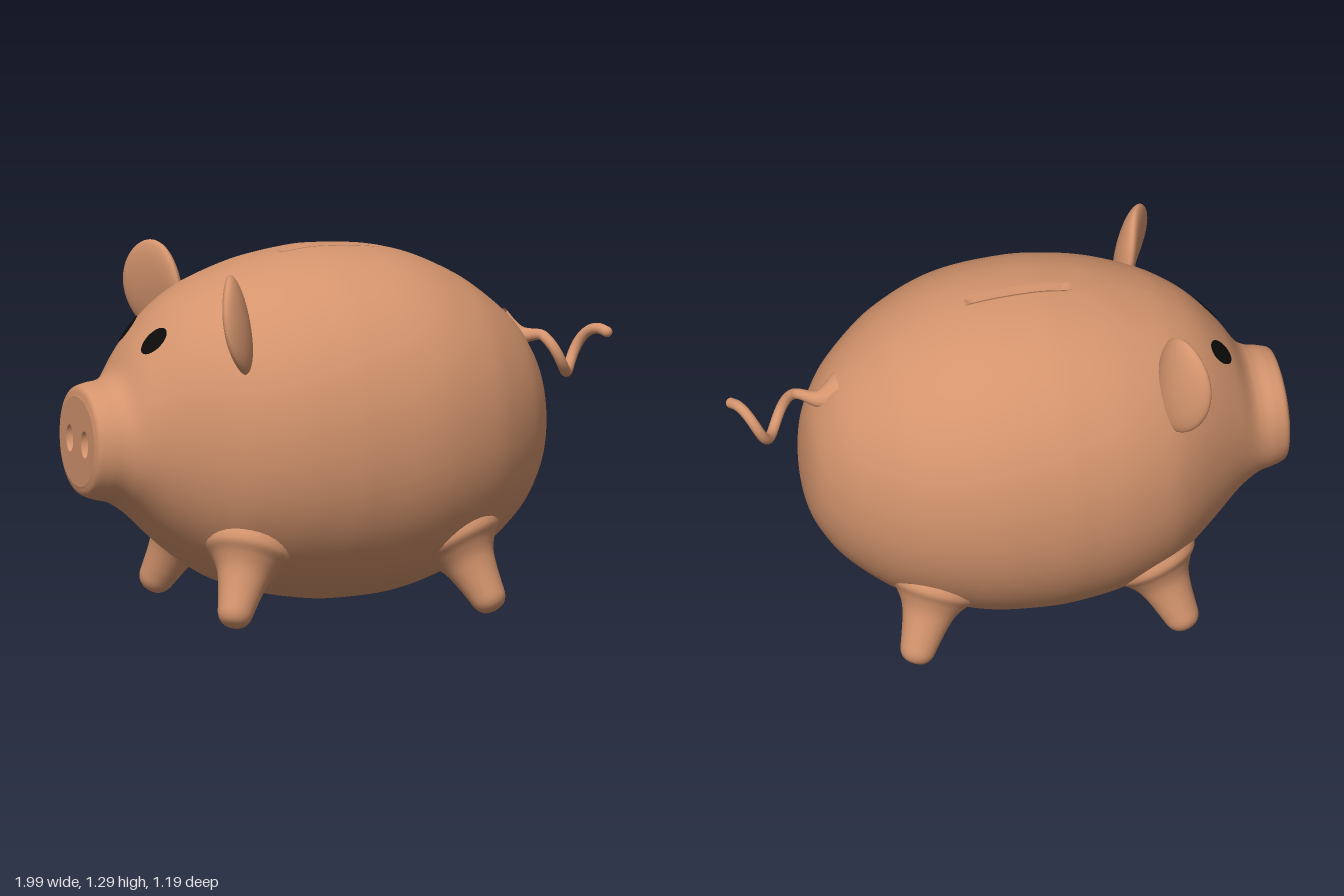
import * as THREE from 'three';

const clay = new THREE.MeshStandardMaterial({ color: 0xd4946d, side: THREE.DoubleSide });
clay.name = 'terracotta';
const black = new THREE.MeshStandardMaterial({ color: 0x0c0b0a, side: THREE.DoubleSide });
black.name = 'eye black';

// Body stations from snout to rump: x, top, bottom, half width
const STATIONS = [
  [-1, 0.79, 0.47, 0.175], [-0.988, 0.822, 0.44, 0.202], [-0.95, 0.836, 0.422, 0.216],
  [-0.9, 0.845, 0.41, 0.228], [-0.86, 0.875, 0.39, 0.248], [-0.8, 0.97, 0.345, 0.295],
  [-0.7, 1.085, 0.25, 0.38], [-0.6, 1.155, 0.17, 0.46], [-0.5, 1.2, 0.11, 0.52],
  [-0.35, 1.248, 0.06, 0.57], [-0.2, 1.275, 0.033, 0.592], [-0.08, 1.283, 0.025, 0.597],
  [0.1, 1.27, 0.037, 0.585], [0.25, 1.232, 0.075, 0.55], [0.4, 1.16, 0.135, 0.485],
  [0.5, 1.09, 0.195, 0.415], [0.6, 1.0, 0.28, 0.32], [0.66, 0.915, 0.36, 0.24],
  [0.7, 0.83, 0.44, 0.165], [0.719, 0.73, 0.53, 0.09], [0.725, 0.63, 0.63, 0],
];
const heights = new THREE.CatmullRomCurve3(STATIONS.map(s => new THREE.Vector3(s[0], s[1], s[2])), false, 'catmullrom', 0.5);
const widths = new THREE.CatmullRomCurve3(STATIONS.map(s => new THREE.Vector3(s[0], s[3], 0)), false, 'catmullrom', 0.5);
const ROUND = 2.1; // slightly fuller than an ellipse

function section(t) {
  const h = heights.getPoint(t), w = widths.getPoint(t);
  return {
    x: h.x, cy: (h.y + h.z) / 2, ry: Math.max(0, (h.y - h.z) / 2), rz: Math.max(0, w.y),
    cz: -0.02 * THREE.MathUtils.clamp((0.2 - h.x) / 1.2, 0, 1),
  };
}

function ringPoint(s, a) {
  const f = v => Math.sign(v) * Math.pow(Math.abs(v), 2 / ROUND);
  return new THREE.Vector3(s.x, s.cy + s.ry * f(Math.cos(a)), s.cz + s.rz * f(Math.sin(a)));
}

// Front-facing surface x at a given height and side position
function frontX(y, z) {
  let lo = 0, hi = 0.5;
  for (let i = 0; i < 30; i++) {
    const t = (lo + hi) / 2, s = section(t);
    const d = Math.abs((y - s.cy) / s.ry) ** ROUND + Math.abs((z - s.cz) / s.rz) ** ROUND;
    if (d < 1) hi = t; else lo = t;
  }
  return section(hi).x;
}

// Lofted body, with the coin slot pressed into the top
function bodyGeometry() {
  const rings = 220, angles = [0, 0.012, 0.024, 0.028, 0.04, 0.06];
  for (let i = 1; i <= 40; i++) angles.push(0.06 + (Math.PI - 0.06) * i / 40);
  const loop = [...angles, ...angles.slice(1, -1).reverse().map(a => 2 * Math.PI - a)];
  const n = loop.length, pos = [], index = [];
  for (let i = 0; i <= rings; i++) {
    const s = section(i / rings);
    loop.forEach((a, j) => {
      const p = ringPoint(s, a);
      const inSlot = (j <= 2 || j >= n - 2) && s.x > -0.23 && s.x < 0.125;
      pos.push(p.x, p.y - (inSlot ? 0.02 : 0), p.z);
      if (i < rings) {
        const k = i * n + j, l = i * n + (j + 1) % n;
        index.push(k, l, k + n, l, l + n, k + n);
      }
    });
  }
  const g = new THREE.BufferGeometry();
  g.setAttribute('position', new THREE.Float32BufferAttribute(pos, 3));
  g.setIndex(index);
  g.computeVertexNormals();
  return g;
}

// Flat snout plate with two oval nostril openings
const NOSTRILS = [-0.095, 0.055];
function snoutGeometry() {
  const s = section(0), outline = [];
  for (let i = 0; i < 84; i++) {
    const p = ringPoint(s, i / 84 * Math.PI * 2);
    outline.push(new THREE.Vector2(p.z, p.y));
  }
  const shape = new THREE.Shape(outline);
  for (const z of NOSTRILS) {
    const hole = new THREE.Path();
    hole.absellipse(z, 0.63, 0.036, 0.048, 0, Math.PI * 2, true);
    shape.holes.push(hole);
  }
  return new THREE.ShapeGeometry(shape, 12).rotateY(-Math.PI / 2).translate(-1, 0, 0);
}

// Cupped oval ear
function earGeometry() {
  const g = new THREE.SphereGeometry(1, 36, 24), p = g.attributes.position;
  for (let i = 0; i < p.count; i++) {
    const u = p.getX(i), v = p.getY(i), w = p.getZ(i);
    p.setXYZ(i, u * 0.145, v * 0.18, w * 0.042 + 0.03 * (u * u - 0.4));
  }
  const U = new THREE.Vector3(-0.4, 0, 0.92).normalize();
  const N = new THREE.Vector3().crossVectors(U, new THREE.Vector3(-0.22, 1, 0.06)).normalize();
  if (N.x > 0) N.negate(); // hollow side looks forward
  const V = new THREE.Vector3().crossVectors(N, U);
  g.applyMatrix4(new THREE.Matrix4().makeBasis(U, V, N).setPosition(-0.555, 1.085, 0.4));
  g.computeVertexNormals();
  return g;
}

// Rounded foot flaring into the belly; local y runs from the tip upward
function legGeometry(tip, root) {
  const profile = new THREE.SplineCurve([
    [0, 0], [0.036, 0.009], [0.058, 0.035], [0.068, 0.08], [0.08, 0.14],
    [0.098, 0.2], [0.128, 0.245], [0.16, 0.28], [0.16, 0.34],
  ].map(q => new THREE.Vector2(...q)));
  const g = new THREE.LatheGeometry(profile.getPoints(32).map(q => q.setX(Math.max(0, q.x))), 32);
  const dir = root.clone().sub(tip).normalize();
  g.applyQuaternion(new THREE.Quaternion().setFromUnitVectors(new THREE.Vector3(0, 1, 0), dir));
  return g.translate(tip.x, tip.y, tip.z);
}

// Corkscrew tail, thick where it leaves the rump
function tailParts() {
  const pts = [new THREE.Vector3(0.58, 0.94, 0), new THREE.Vector3(0.66, 0.915, 0.008)];
  for (let a = 0.35; a < 7.15; a += 0.4) {
    pts.push(new THREE.Vector3(0.71 + 0.0385 * a, 0.85 + 0.073 * Math.cos(a), 0.02 + 0.073 * Math.sin(a)));
  }
  const curve = new THREE.CatmullRomCurve3(pts), n = 110, sides = 16;
  const g = new THREE.TubeGeometry(curve, n, 1, sides), p = g.attributes.position;
  const v = new THREE.Vector3();
  for (let i = 0; i <= n; i++) {
    const c = curve.getPointAt(i / n);
    const r = 0.019 + 0.06 * Math.max(0, 1 - (i / n) / 0.24) ** 2;
    for (let j = 0; j <= sides; j++) {
      const k = i * (sides + 1) + j;
      v.fromBufferAttribute(p, k).sub(c).multiplyScalar(r).add(c);
      p.setXYZ(k, v.x, v.y, v.z);
    }
  }
  return { tube: g, end: curve.getPointAt(1) };
}

// Thin oval eye following the face
function eyeGeometry(side) {
  const g = new THREE.RingGeometry(0, 1, 32, 6), p = g.attributes.position;
  for (let i = 0; i < p.count; i++) {
    const y = 0.996 + 0.045 * p.getY(i) , z = -0.019 + side * 0.135 + 0.046 * p.getX(i);
    p.setXYZ(i, frontX(y, z) - 0.005, y + 0.002, z);
  }
  // turn the corners so the disc faces forward
  const idx = g.index.array;
  for (let i = 0; i < idx.length; i += 3) [idx[i], idx[i + 1]] = [idx[i + 1], idx[i]];
  g.computeVertexNormals();
  const nrm = g.attributes.normal;
  if (nrm.getX(nrm.count - 1) > 0) {
    for (let i = 0; i < idx.length; i += 3) [idx[i], idx[i + 1]] = [idx[i + 1], idx[i]];
    g.computeVertexNormals();
  }
  return g;
}

export function createModel() {
  const pig = new THREE.Group();
  pig.name = 'piggyBank';
  const add = (name, geometry, material = clay) => {
    const m = new THREE.Mesh(geometry, material);
    m.name = name;
    pig.add(m);
    return m;
  };

  add('body', bodyGeometry());
  add('snoutPlate', snoutGeometry());
  for (const z of NOSTRILS) {
    const bowl = new THREE.SphereGeometry(1, 24, 10, 0, Math.PI * 2, 0, Math.PI / 2).rotateZ(-Math.PI / 2);
    add('nostril', bowl.scale(0.03, 0.048, 0.036).translate(-1, 0.63, z));
  }

  // Mirrored pairs
  const V = (x, y, z) => new THREE.Vector3(x, y, z);
  for (const side of [1, -1]) {
    const ear = add('ear', earGeometry());
    ear.scale.z = side;
    ear.position.z = -0.015;
    add('frontLeg', legGeometry(V(-0.575, 0.008, side * 0.42 - 0.012), V(-0.47, 0.26, side * 0.31 - 0.01)));
    add('backLeg', legGeometry(V(0.415, 0.008, side * 0.415), V(0.31, 0.26, side * 0.3)));
    add('eye', eyeGeometry(side), black);
  }

  const tail = tailParts();
  add('tail', tail.tube);
  add('tailTip', new THREE.SphereGeometry(0.019, 16, 12).translate(tail.end.x, tail.end.y, tail.end.z));
  return pig;
}
